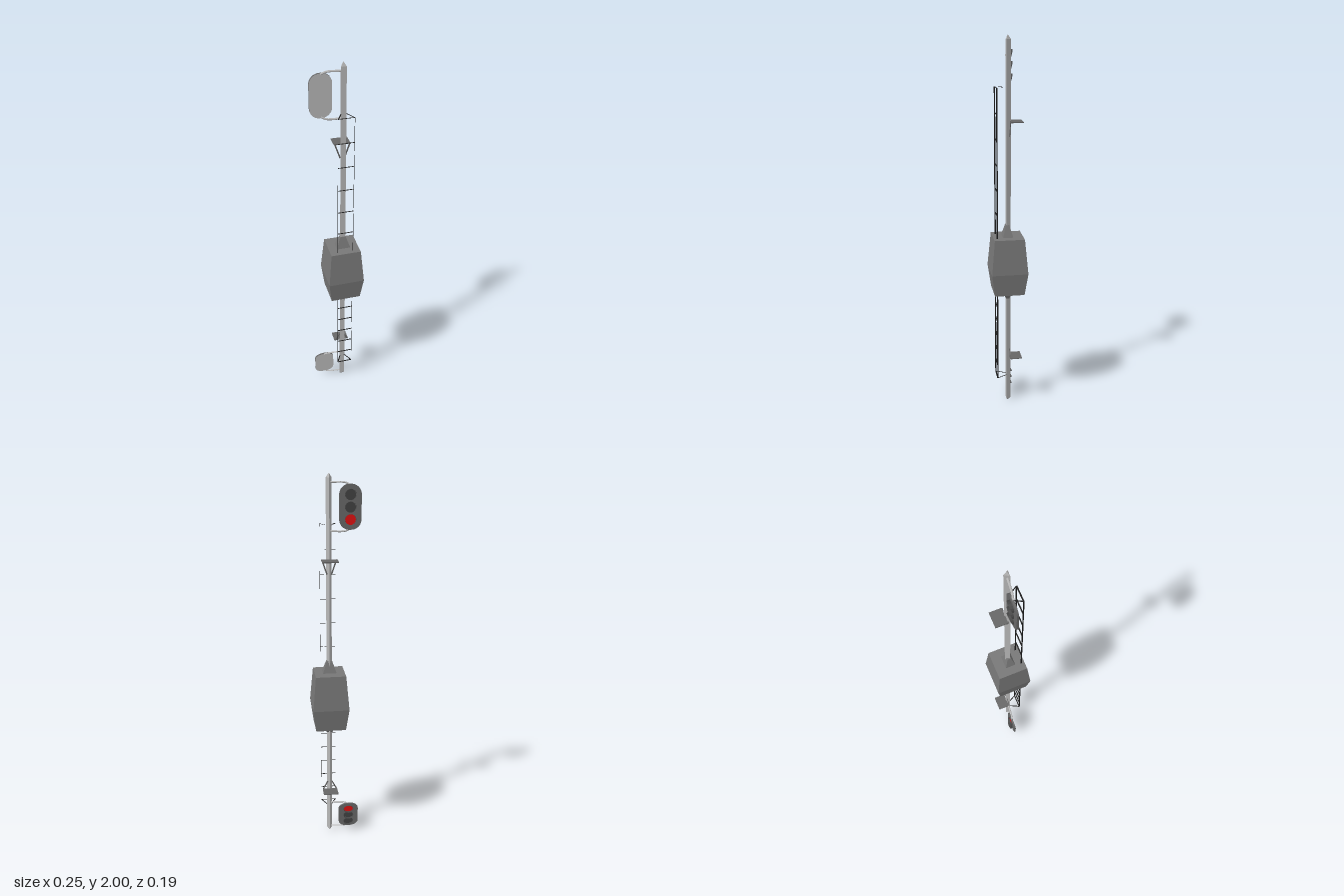
import * as THREE from 'three';

export function createModel() {
  const model = new THREE.Group();
  const material = (name, color, side = THREE.FrontSide) => {
    const m = new THREE.MeshStandardMaterial({ color, side });
    m.name = name;
    return m;
  };
  const lightGrey = material('light grey', 0xb8b8b8);
  const boxGrey = material('housing grey', 0x777777);
  const darkGrey = material('dark grey', 0x666666);
  const black = material('ladder black', 0x1c1c1c, THREE.DoubleSide);
  const hoodGrey = material('hood grey', 0x484848, THREE.DoubleSide);
  const lampGrey = material('unlit lamp', 0x404040);
  const red = material('red lamp', 0xdd1010);

  const MID = 0.79;              // height of the mirror plane
  const SQUASH = MID / 1.21;     // lower half is a squashed reflection
  const PX = 0.03;               // mast centre

  // Adds a flat-faced part to the upper half and its reflection to the lower half
  function add(name, geometry, mat) {
    const upper = geometry.index ? geometry.toNonIndexed() : geometry;
    const lower = upper.clone();
    const p = lower.attributes.position;
    for (let i = 0; i < p.count; i++) p.setY(i, MID - (p.getY(i) - MID) * SQUASH);
    const a = new THREE.Vector3(), b = new THREE.Vector3();
    for (let i = 0; i < p.count; i += 3) {
      a.fromBufferAttribute(p, i + 1);
      b.fromBufferAttribute(p, i + 2);
      p.setXYZ(i + 1, b.x, b.y, b.z);
      p.setXYZ(i + 2, a.x, a.y, a.z);
    }
    [['upper', upper], ['lower', lower]].forEach(([half, g]) => {
      g.computeVertexNormals();
      const mesh = new THREE.Mesh(g, mat);
      mesh.name = half + name;
      model.add(mesh);
    });
  }

  const quad = (a, b, c, d) => {
    const g = new THREE.BufferGeometry();
    g.setAttribute('position', new THREE.Float32BufferAttribute([a, b, c, a, c, d].flat(), 3));
    return g;
  };
  const box = (w, h, d, x, y, z) => new THREE.BoxGeometry(w, h, d).translate(x, y, z);

  // Square frustum given half sizes at bottom and top
  function frustum(y0, y1, x0, z0, x1, z1, z = 0) {
    const g = new THREE.BoxGeometry(2, 1, 2);
    const p = g.attributes.position;
    for (let i = 0; i < p.count; i++) {
      const top = p.getY(i) > 0;
      p.setXYZ(i, PX + p.getX(i) * (top ? x1 : x0), top ? y1 : y0, z + p.getZ(i) * (top ? z1 : z0));
    }
    return g;
  }

  // Three-sided mast with pointed end
  const prism = (r0, r1, y0, y1) =>
    new THREE.CylinderGeometry(r1, r0, y1 - y0, 3, 1, false, Math.PI).translate(PX, (y0 + y1) / 2, -0.002);
  add('Mast', prism(0.0165, 0.0165, MID, 1.98), lightGrey);
  add('MastTip', prism(0.0165, 0.002, 1.98, 2), lightGrey);

  // Central housing and its collars
  add('Housing', frustum(MID, 0.977, 0.096, 0.096, 0.08, 0.079, -0.002), boxGrey);
  add('Collar', frustum(0.977, 1.04, 0.036, 0.027, 0.015, 0.009), boxGrey);

  // Ladder of flat strips
  const L = 0.041, Z0 = 0.055, Z1 = 0.062, LADDER_TOP = 1.75;
  for (const s of [-1, 1]) {
    const x = PX + s * L;
    add('LadderRail', quad([x, 0.95, Z0], [x, 0.95, Z1], [x, LADDER_TOP, Z1], [x, LADDER_TOP, Z0]), black);
    const i = PX + s * 0.012;
    add('LadderBracket', quad([x, LADDER_TOP, Z0], [x - s * 0.007, LADDER_TOP, Z0],
      [i - s * 0.006, LADDER_TOP, 0], [i, LADDER_TOP, 0]), black);
  }
  for (let n = 0; n < 6; n++) {
    const y = LADDER_TOP - n * 0.13;
    add('LadderRung', quad([PX - L, y, Z0], [PX - L, y, Z1], [PX + L, y, Z1], [PX + L, y, Z0]), black);
  }

  // Platform behind the mast, with its slanted struts
  add('Platform', box(0.082, 0.006, 0.063, PX, 1.58, -0.0455), darkGrey);
  for (const s of [-1, 1]) {
    const from = new THREE.Vector3(PX + s * 0.037, 1.58, -0.011);
    const to = new THREE.Vector3(PX + s * 0.011, 1.505, -0.011);
    const d = to.clone().sub(from);
    const g = new THREE.BoxGeometry(0.007, d.length(), 0.003);
    g.rotateZ(Math.atan2(-d.x, d.y));
    g.translate((from.x + to.x) / 2, (from.y + to.y) / 2, -0.011);
    add('PlatformStrut', g, darkGrey);
  }

  // Signal head: rounded plate, dark at the back and light at the front
  const SX = -0.074, SY = 1.84, HW = 0.055, HH = 0.11, R = 0.05;
  const outline = new THREE.Shape();
  outline.moveTo(HW, -HH + R);
  outline.absarc(HW - R, HH - R, R, 0, Math.PI / 2);
  outline.absarc(-HW + R, HH - R, R, Math.PI / 2, Math.PI);
  outline.absarc(-HW + R, -HH + R, R, Math.PI, Math.PI * 1.5);
  outline.absarc(HW - R, -HH + R, R, Math.PI * 1.5, Math.PI * 2);
  const plate = new THREE.ExtrudeGeometry(outline, { depth: 0.01, bevelEnabled: false, curveSegments: 6 });
  add('SignalHead', plate.translate(SX, SY, -0.025), darkGrey);
  add('SignalFace', new THREE.ShapeGeometry(outline, 6).translate(SX, SY, -0.0145), lightGrey);

  // Lamps with hoods longest at the top
  const r = 0.028;
  for (const n of [-1, 0, 1]) {
    const y = SY + n * 0.06;
    add('Lamp', new THREE.CircleGeometry(r * 0.95, 16).rotateY(Math.PI).translate(SX, y, -0.0265),
      n < 0 ? red : lampGrey);
    const hood = new THREE.CylinderGeometry(r, r, 1, 16, 1, true).rotateX(Math.PI / 2);
    const p = hood.attributes.position;
    for (let i = 0; i < p.count; i++) {
      const outer = p.getZ(i) < 0;
      p.setZ(i, outer ? -0.026 - 0.008 * (1 + p.getY(i) / r) : -0.024);
    }
    add('LampHood', hood.translate(SX, y, 0), hoodGrey);
  }

  // Bent arms holding the signal head
  for (const s of [-1, 1]) {
    const path = new THREE.CatmullRomCurve3([
      new THREE.Vector3(SX, SY + s * 0.105, -0.018),
      new THREE.Vector3(SX + 0.025, SY + s * 0.117, -0.012),
      new THREE.Vector3(PX - 0.008, SY + s * 0.118, -0.004),
    ]);
    add('SignalArm', new THREE.TubeGeometry(path, 8, 0.005, 6), lightGrey);
  }
  return model;
}
